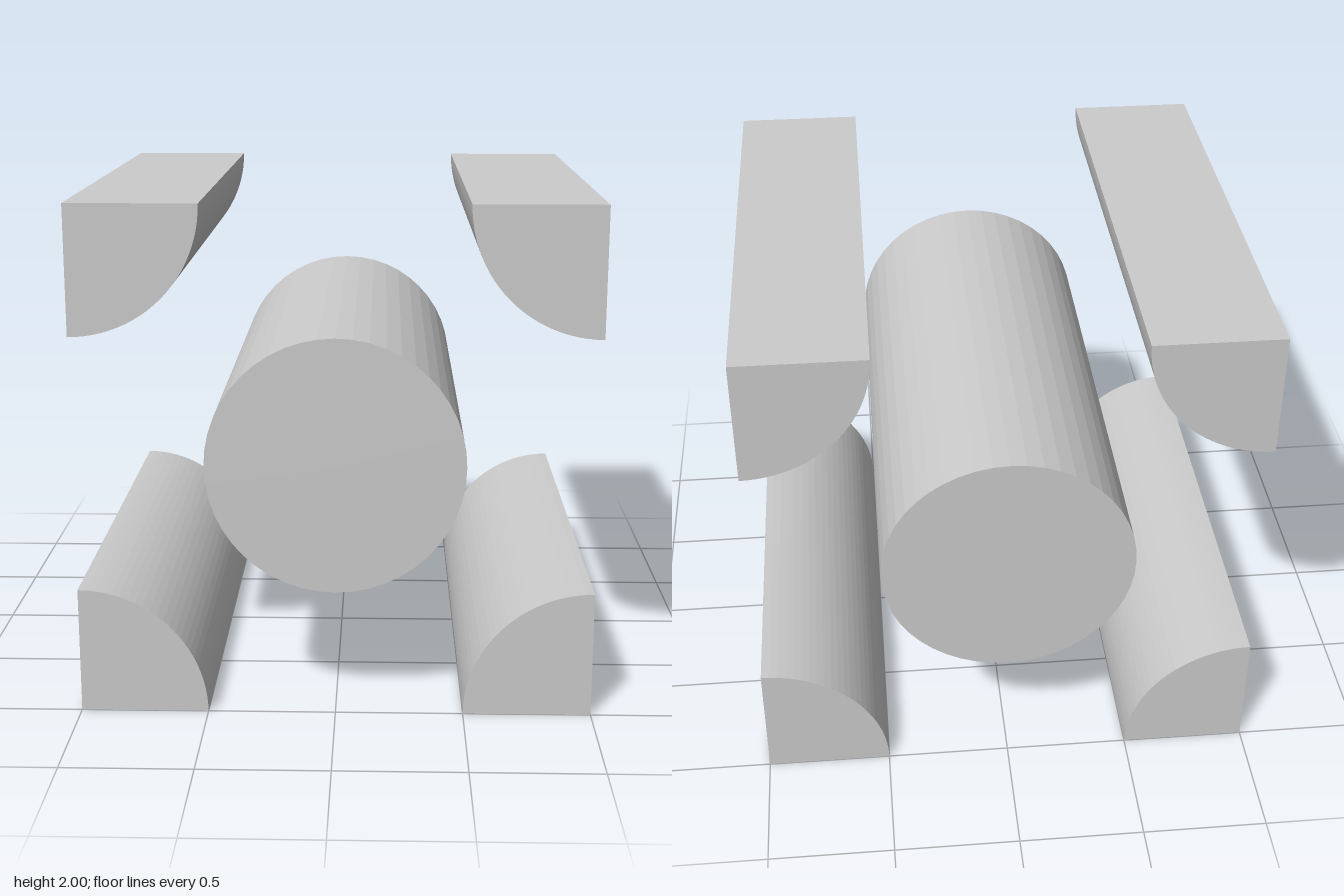
import * as THREE from 'three';

const RADIUS = 0.5, LENGTH = 2, SIDES = 48;

export function createModel() {
  const model = new THREE.Group();
  model.name = 'cylinderLattice';
  const material = new THREE.MeshStandardMaterial({ color: 0xcccccc, flatShading: true });

  // Full cylinder through the middle, lying along z
  const rod = new THREE.Mesh(
    new THREE.CylinderGeometry(RADIUS, RADIUS, LENGTH, SIDES).rotateX(Math.PI / 2),
    material
  );
  rod.name = 'centreCylinder';
  rod.position.y = 1;
  model.add(rod);

  // Quarter cylinder with its axis on the origin
  const quarter = new THREE.Shape();
  quarter.moveTo(0, 0);
  quarter.lineTo(RADIUS, 0);
  quarter.absarc(0, 0, RADIUS, 0, Math.PI / 2, false);
  quarter.closePath();
  const quarterGeometry = new THREE.ExtrudeGeometry(quarter, {
    depth: LENGTH, bevelEnabled: false, curveSegments: SIDES / 4,
  }).translate(0, 0, -LENGTH / 2);

  // One quarter along each long edge, turned to face the centre
  const corners = [
    ['lowerRightQuarter', -1, 0],
    ['lowerLeftQuarter', 1, 0],
    ['upperLeftQuarter', 1, 2],
    ['upperRightQuarter', -1, 2],
  ];
  corners.forEach(([name, x, y], i) => {
    const mesh = new THREE.Mesh(quarterGeometry, material);
    mesh.name = name;
    mesh.position.set(x, y, 0);
    mesh.rotation.z = i * Math.PI / 2;
    model.add(mesh);
  });

  return model;
}
